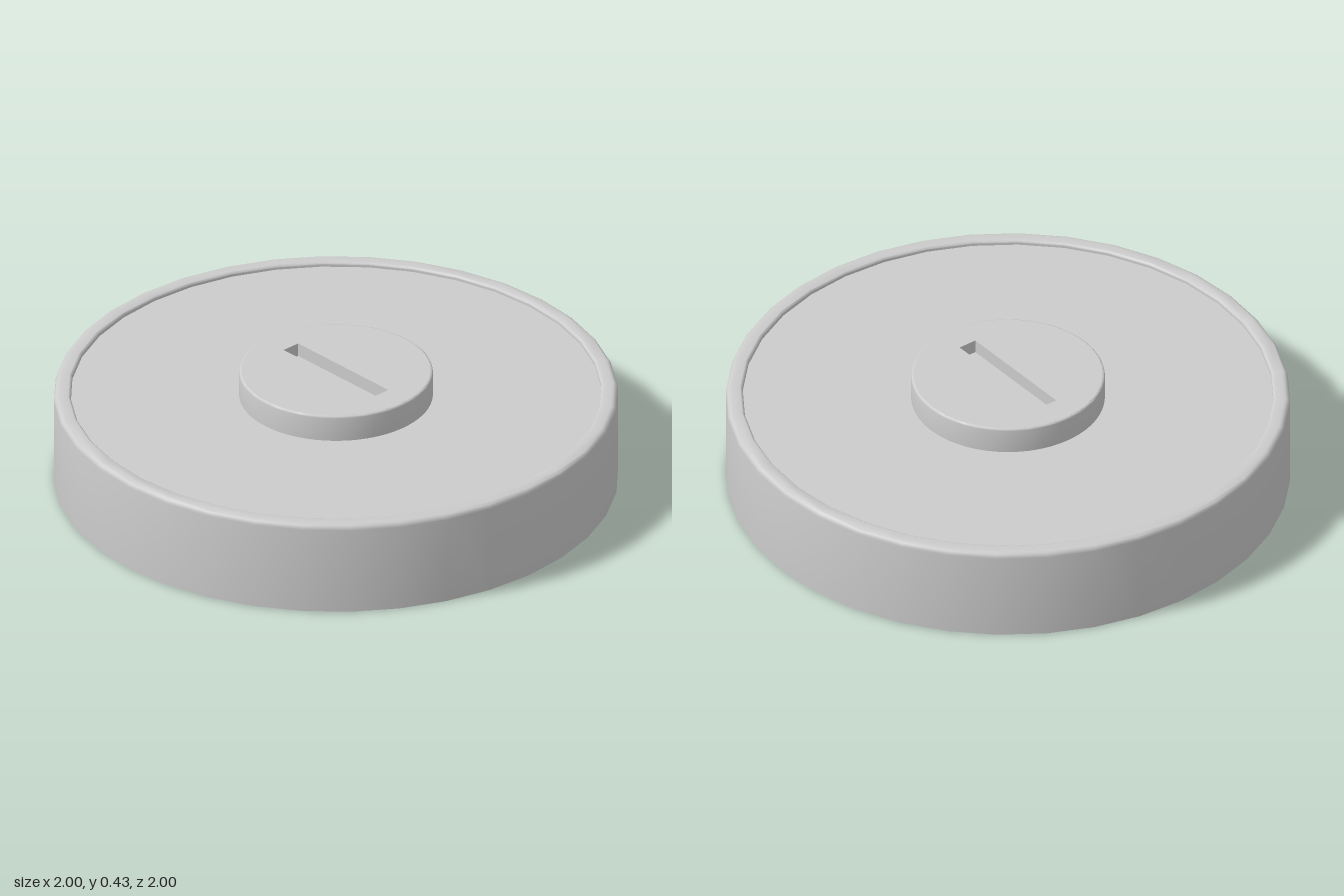
import * as THREE from 'three';
import { toCreasedNormals } from 'three/addons/utils/BufferGeometryUtils.js';

const material = new THREE.MeshStandardMaterial({ color: 0xcccccc });

function addMesh(parent, name, geometry) {
  const mesh = new THREE.Mesh(geometry, material);
  mesh.name = name;
  parent.add(mesh);
  return mesh;
}

// Profile of [radius, height] pairs turned around y, with sharp edges kept
function turned(profile, sides) {
  const points = profile.map(([r, y]) => new THREE.Vector2(r, y));
  return toCreasedNormals(new THREE.LatheGeometry(points, sides), 0.6);
}

// Quarter-round corner from angle a to angle b (degrees)
function fillet(cx, cy, radius, a, b, steps = 4) {
  return Array.from({ length: steps + 1 }, (_, i) => {
    const t = THREE.MathUtils.degToRad(a + ((b - a) * i) / steps);
    return [cx + radius * Math.cos(t), cy + radius * Math.sin(t)];
  });
}

export function createModel() {
  const model = new THREE.Group();
  model.name = 'roundCap';

  const plateY = 0.33, lipY = 0.347, topY = 0.428;
  const knobR = 0.343, knobBevel = 0.008;

  // Outer wall, rounded lip and the slightly sunken top plate
  addMesh(model, 'body', turned([
    [0.88, 0], [1, 0],
    ...fillet(0.98, lipY - 0.02, 0.02, 0, 90),
    ...fillet(0.95, lipY - 0.01, 0.01, 90, 180),
    [0.94, plateY], [0, plateY],
  ], 36));

  // Hollow underside with a deeper round pocket in the middle
  addMesh(model, 'underside', turned([
    [0, 0.19], [0.29, 0.19], [0.29, 0.114], [0.88, 0.114], [0.88, 0],
  ], 72));

  // Knob: bevelled side wall
  const knob = new THREE.Group();
  knob.name = 'knob';
  model.add(knob);
  addMesh(knob, 'knobSide', turned([
    [knobR, plateY], ...fillet(knobR - knobBevel, topY - knobBevel, knobBevel, 0, 90, 3),
  ], 72));

  // Knob top with the slot cut through it
  const slotX = 0.234, slotZ = 0.035, slotDepth = 0.05;
  const disc = new THREE.Shape().absarc(0, 0, knobR - knobBevel, 0, Math.PI * 2);
  disc.holes.push(new THREE.Path([
    [-slotX, -slotZ], [-slotX, slotZ], [slotX, slotZ], [slotX, -slotZ], [-slotX, -slotZ],
  ].map(([x, y]) => new THREE.Vector2(x, y))));
  const top = new THREE.ExtrudeGeometry(disc, { depth: slotDepth, bevelEnabled: false, curveSegments: 72 });
  top.rotateX(-Math.PI / 2).translate(0, topY - slotDepth, 0);
  addMesh(knob, 'knobTop', top);

  // Floor of the slot
  const floor = new THREE.PlaneGeometry(slotX * 2, slotZ * 2).rotateX(-Math.PI / 2);
  addMesh(knob, 'slotFloor', floor).position.y = topY - slotDepth;

  return model;
}
